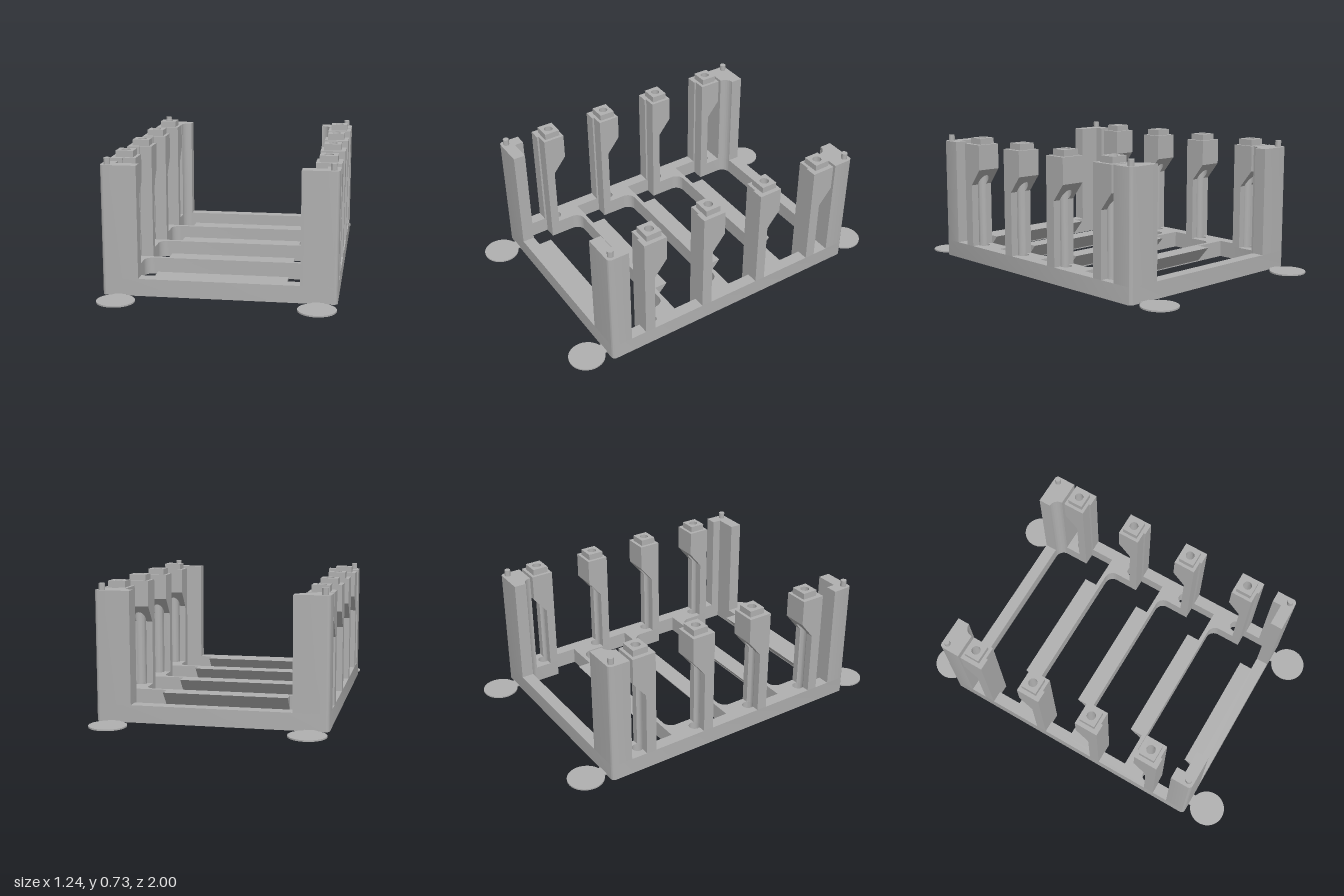
import * as THREE from 'three';
import { toCreasedNormals } from 'three/addons/utils/BufferGeometryUtils.js';

const BASE = 0.093, TOP = 0.695, PIN_TOP = 0.73;
const OUT = 0.618, RAIL = 0.55, INNER = 0.48, END = 0.793;
const FILLET = 0.052, BORE = 0.032, BORE_X = 0.546;
const ROWS = [-0.588, -0.22, 0.148, 0.516];

// Points [x, z] along an arc, from angle a to angle b
function arc(cx, cz, r, a, b, n = 12) {
  return Array.from({ length: n + 1 }, (_, i) => {
    const t = a + (b - a) * i / n;
    return [cx + r * Math.cos(t), cz + r * Math.sin(t)];
  });
}
const circle = (cx, cz, r) => arc(cx, cz, r, 0, Math.PI * 2, 24).slice(0, -1);
const toV2 = (pts) => pts.map(([x, z]) => new THREE.Vector2(x, -z));

// Upright prism from a plan outline, with holes, between two heights.
// The outline is wound counter-clockwise so that hole walls face inwards.
function prism(outline, y0, y1, holes = []) {
  const points = toV2(outline);
  if (THREE.ShapeUtils.isClockWise(points)) points.reverse();
  const shape = new THREE.Shape(points);
  shape.holes = holes.map((h) => new THREE.Path(toV2(h)));
  const g = new THREE.ExtrudeGeometry(shape, { depth: y1 - y0, bevelEnabled: false });
  return g.rotateX(-Math.PI / 2).translate(0, y0, 0);
}

export function createModel() {
  const model = new THREE.Group();
  model.name = 'slottedRack';
  const grey = new THREE.MeshStandardMaterial({ color: 0xb0b0b0 });
  grey.name = 'grey';
  const add = (name, geometry, parent = model) => {
    const mesh = new THREE.Mesh(toCreasedNormals(geometry, 0.6), grey);
    mesh.name = name;
    parent.add(mesh);
  };
  const H = Math.PI / 2, R = 0.022;

  // Base frame: four openings with rounded back corners, and bores under the posts
  const outline = [
    ...arc(OUT - R, END - R, R, 0, H), ...arc(R - OUT, END - R, R, H, 2 * H),
    ...arc(R - OUT, R - END, R, 2 * H, 3 * H), ...arc(OUT - R, R - END, R, 3 * H, 4 * H),
  ];
  const holes = [];
  for (const zc of ROWS) {
    const back = zc - 0.136, step = zc + 0.057, front = zc + 0.208;
    holes.push([
      ...arc(FILLET - INNER, back + FILLET, FILLET, 2 * H, 3 * H),
      ...arc(INNER - FILLET, back + FILLET, FILLET, 3 * H, 4 * H),
      [INNER, step], [RAIL, step], [RAIL, front], [-RAIL, front], [-RAIL, step], [-INNER, step],
    ]);
    holes.push(circle(-BORE_X, zc - 0.006, BORE), circle(BORE_X, zc - 0.006, BORE));

    // Sloped lip behind each crossbar
    const wedge = new THREE.Shape([
      new THREE.Vector2(-front - 0.002, 0.004),
      new THREE.Vector2(-front - 0.002, BASE),
      new THREE.Vector2(-front + 0.076, BASE),
    ]);
    const lip = new THREE.ExtrudeGeometry(wedge, { depth: 0.702, bevelEnabled: false });
    add('crossbarLip', lip.rotateY(H).translate(-0.351, 0, 0));
  }
  add('baseFrame', prism(outline, 0, BASE, holes));

  for (const s of [1, -1]) {
    const side = new THREE.Group();
    side.name = s > 0 ? 'leftSide' : 'rightSide';
    model.add(side);
    const mirror = (pts) => pts.map(([x, z]) => [x * s, z]);

    // Corner posts with locating pins
    add('backCornerPost', prism(mirror([
      ...arc(OUT - R, R - END, R, 4 * H, 3 * H),
      [INNER - FILLET, -END],
      ...arc(INNER - FILLET, -0.724 + FILLET, FILLET, -H, 0),
      [OUT, -0.724 + FILLET],
    ]), BASE, TOP), side);
    add('frontCornerPost', prism(mirror([
      ...arc(OUT - R, END - R, R, 0, H),
      [0.425, END], [0.425, 0.724], [RAIL, 0.724], [RAIL, 0.673], [OUT, 0.673],
    ]), BASE, TOP), side);
    for (const e of [1, -1]) {
      const pin = new THREE.CylinderGeometry(0.017, 0.017, PIN_TOP - TOP, 24);
      add('locatingPin', pin.translate(s * 0.585, (TOP + PIN_TOP) / 2, e * 0.762), side);

      // Thin round foot pads joined by a short tab
      const pad = new THREE.CylinderGeometry(0.1, 0.1, 0.008, 48);
      add('footPad', pad.translate(s * 0.52, 0.004, e * 0.9), side);
      const tab = new THREE.BoxGeometry(0.065, 0.008, 0.05);
      add('footTab', tab.translate(s * 0.52, 0.004, e * 0.805), side);
    }

    // Bored posts: channelled shaft, overhanging head, cap with a hole
    for (const zc of ROWS) {
      const split = zc + 0.008, bz = zc - 0.006;
      const a = Math.asin((split - bz) / BORE), PI = Math.PI;
      add('postShaft', prism(mirror([
        [OUT, split], [OUT, zc + 0.068], [RAIL, zc + 0.068], [RAIL, zc + 0.057],
        [INNER, zc + 0.057], [INNER, split],
        ...arc(BORE_X, bz, BORE, PI - a, a),
      ]), BASE, TOP), side);

      // The underside of the head slopes up towards the back
      const head = prism(mirror([
        [OUT, split], ...arc(BORE_X, bz, BORE, a, -PI - a, 20),
        [INNER, split], [INNER, zc - 0.068], [OUT, zc - 0.068],
      ]), 0.4, TOP);
      const p = head.attributes.position;
      for (let i = 0; i < p.count; i++) {
        if (p.getY(i) < 0.5) p.setY(i, 0.455 + (split - p.getZ(i)) * 1.25);
      }
      add('postHead', head, side);

      const w = 0.048, d = 0.045;
      add('postCap', prism(mirror([
        [BORE_X - w, bz - d], [BORE_X + w, bz - d], [BORE_X + w, bz + d], [BORE_X - w, bz + d],
      ]), TOP, PIN_TOP, [mirror(circle(BORE_X, bz, 0.025))]), side);
    }
  }
  return model;
}
